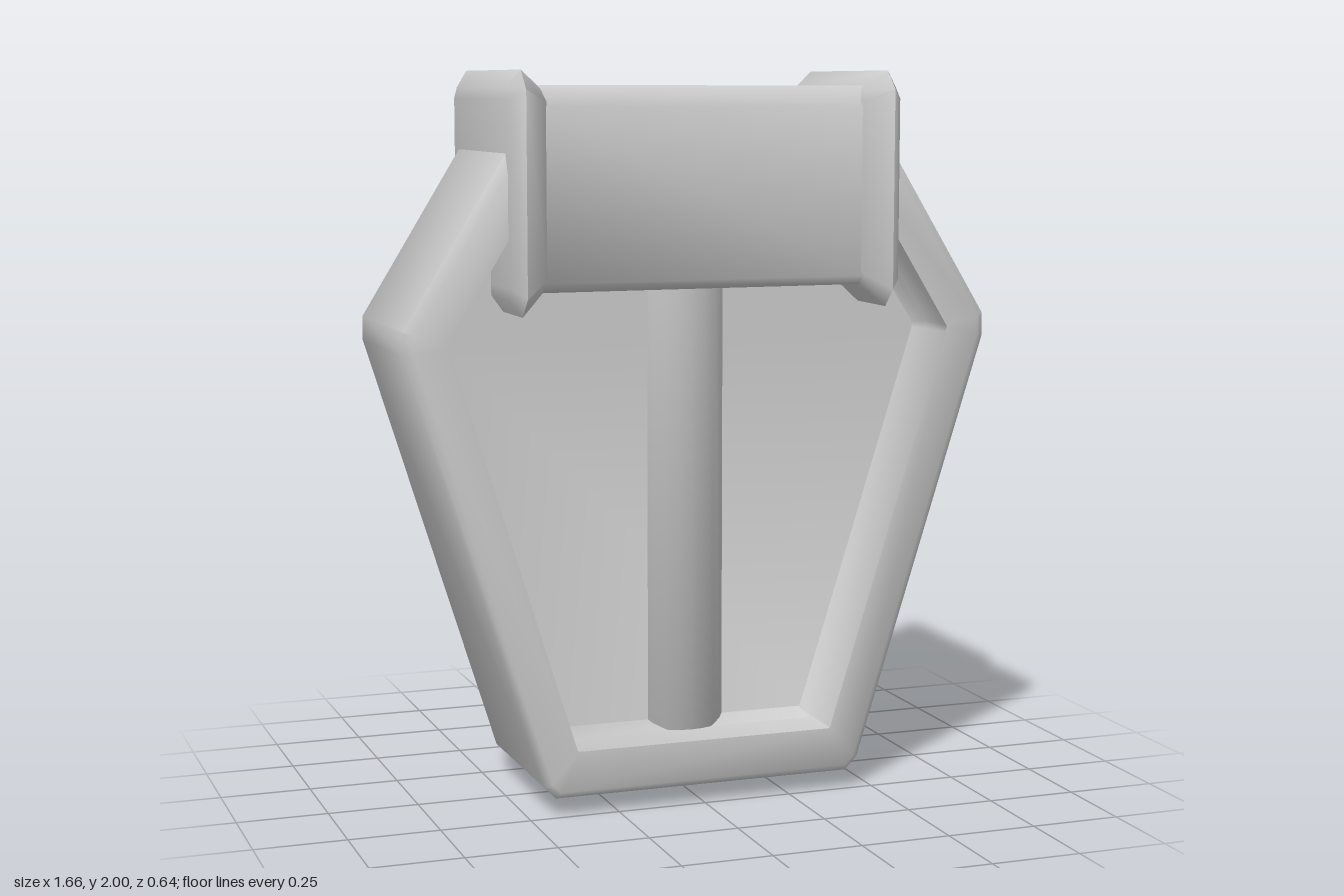
import * as THREE from 'three';
import { toCreasedNormals } from 'three/addons/utils/BufferGeometryUtils.js';

const material = new THREE.MeshStandardMaterial({ color: 0xcccccc });

function part(name, geometry, crease) {
  const mesh = new THREE.Mesh(toCreasedNormals(geometry, crease), material);
  mesh.name = name;
  return mesh;
}

// Skin a list of [half outline, z] sections, mirrored in x and closed at both ends
function loft(sections) {
  const positions = [];
  const index = [];
  const n = sections[0][0].length * 2;
  for (const [half, z] of sections) {
    const mirrored = half.map(([x, y]) => [-x, y]).reverse();
    for (const [x, y] of [...half, ...mirrored]) positions.push(x, y, z);
  }
  const quad = (a, b, c, d) => index.push(a, b, c, a, c, d);
  for (let s = 0; s < sections.length - 1; s++) {
    for (let i = 0; i < n; i++) {
      const a = s * n + i;
      const b = s * n + ((i + 1) % n);
      quad(a, b, b + n, a + n);
    }
  }
  // End faces as strips from one side to the other
  const last = (sections.length - 1) * n;
  for (let i = 0; i < n / 2 - 1; i++) {
    const j = n - 1 - i;
    quad(i, j, j - 1, i + 1);
    quad(last + i, last + i + 1, last + j - 1, last + j);
  }
  const geometry = new THREE.BufferGeometry();
  geometry.setAttribute('position', new THREE.Float32BufferAttribute(positions, 3));
  geometry.setIndex(index);
  return geometry;
}

// Half outline of a rectangle with chamfered corners
function chamferedRect(w, y0, y1, bottom, top = bottom, topDepth = top) {
  return [[w - bottom, y0], [w, y0 + bottom], [w, y1 - top], [w - topDepth, y1]];
}

export function createModel() {
  const group = new THREE.Group();

  // Tapered six-sided housing with a bevelled rim and a recessed front
  const outer = [[0.425, 0.05], [0.46, 0.085], [0.83, 1.265], [0.83, 1.33], [0.51, 1.85]];
  const edge = [[0.415, 0.07], [0.44, 0.095], [0.805, 1.27], [0.805, 1.32], [0.49, 1.83]];
  const lip = [[0.365, 0.18], [0.37, 0.185], [0.71, 1.28], [0.71, 1.3], [0.42, 1.77]];
  const floor = [[0.345, 0.205], [0.35, 0.21], [0.685, 1.28], [0.685, 1.295], [0.4, 1.75]];
  group.add(part('housing', loft([
    [edge, -0.257], [outer, -0.235], [outer, 0.235],
    [edge, 0.257], [lip, 0.257], [lip, 0.125], [floor, 0.085],
  ]), 0.95));

  // Upright rod half sunk in the recess, its chamfered tip showing below the housing
  const rodProfile = [[0, 0], [0.04, 0.005], [0.09, 0.05], [0.14, 0.1], [0.14, 1.6], [0, 1.6]]
    .map(([x, y]) => new THREE.Vector2(x, y));
  group.add(part('rod', new THREE.LatheGeometry(rodProfile, 24), 0.9));

  // Cap block across the top
  const capSection = chamferedRect(0.262, 1.42, 1.96, 0.025, 0.055, 0.03);
  const cap = loft([[capSection, -0.48], [capSection, 0.48]]);
  group.add(part('cap', cap.rotateY(Math.PI / 2), 1.2));

  // Flared flanges at both ends of the cap
  for (const side of [1, -1]) {
    const flange = loft([
      [chamferedRect(0.26, 1.425, 1.945, 0.03), 0.445],
      [chamferedRect(0.32, 1.36, 2.0, 0.05), 0.517],
      [chamferedRect(0.28, 1.405, 1.955, 0.03), 0.55],
    ]);
    flange.rotateY(side * Math.PI / 2);
    group.add(part(side > 0 ? 'leftFlange' : 'rightFlange', flange, 1.65));
  }

  return group;
}
